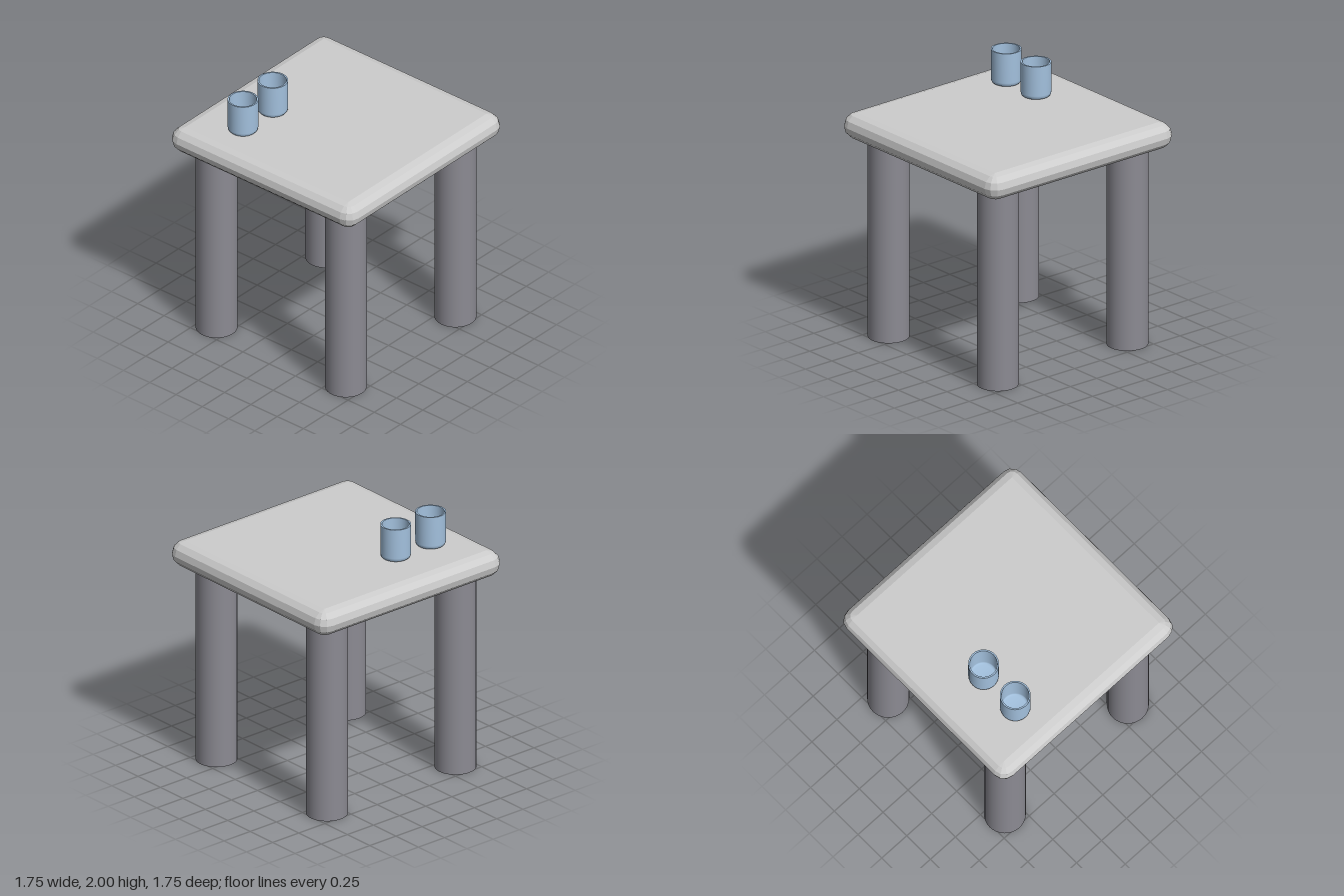
import * as THREE from 'three';
import { ConvexGeometry } from 'three/addons/geometries/ConvexGeometry.js';

const material = (name, color) => {
  const m = new THREE.MeshStandardMaterial({ color });
  m.name = name;
  return m;
};

// Slab with faceted round edges: the hull of a coarse sphere at each corner
function roundedSlab(half, radius) {
  const points = [];
  const inner = half - radius;
  for (const sx of [-1, 1]) for (const sz of [-1, 1]) {
    for (let i = 0; i <= 6; i++) {
      const phi = -Math.PI / 2 + (i * Math.PI) / 6;
      const r = radius * Math.cos(phi);
      const count = i % 6 === 0 ? 1 : 4;
      for (let j = 0; j < count; j++) {
        const a = (j * Math.PI) / 6;
        points.push(new THREE.Vector3(
          sx * (inner + r * Math.cos(a)),
          radius * Math.sin(phi),
          sz * (inner + r * Math.sin(a))
        ));
      }
    }
  }
  return new ConvexGeometry(points);
}

// Open cup with a rounded foot; doubled points keep the rim and foot crisp
function cupGeometry() {
  const profile = [
    [0, 0], [0.085, 0], [0.085, 0], [0.1, 0.007], [0.109, 0.018], [0.112, 0.035],
    [0.112, 0.265], [0.112, 0.265], [0.1, 0.265], [0.1, 0.265],
    [0.1, 0.037], [0.096, 0.023], [0.083, 0.014], [0, 0.012],
  ];
  return new THREE.LatheGeometry(profile.map(([x, y]) => new THREE.Vector2(x, y)), 32);
}

export function createModel() {
  const group = new THREE.Group();
  group.name = 'tableWithCups';
  const topMaterial = material('light grey', 0xcccccc);
  const legMaterial = material('dark grey', 0x8c8b93);
  const cupMaterial = material('pale blue', 0xa3c1de);

  const add = (name, geometry, mat, x, y, z) => {
    const mesh = new THREE.Mesh(geometry, mat);
    mesh.name = name;
    mesh.position.set(x, y, z);
    group.add(mesh);
  };

  // Table top
  add('tableTop', roundedSlab(0.875, 0.1), topMaterial, 0, 1.635, 0);

  // Four round legs
  const leg = new THREE.CylinderGeometry(0.153, 0.153, 1.535, 32);
  for (const x of [-1, 1]) for (const z of [-1, 1]) {
    add(`${z > 0 ? 'front' : 'back'}${x > 0 ? 'Left' : 'Right'}Leg`, leg, legMaterial, x * 0.615, 0.7675, z * 0.615);
  }

  // Two cups standing at the back
  const cup = cupGeometry();
  add('outerCup', cup, cupMaterial, -0.533, 1.735, -0.433);
  add('innerCup', cup, cupMaterial, -0.199, 1.735, -0.433);

  return group;
}
